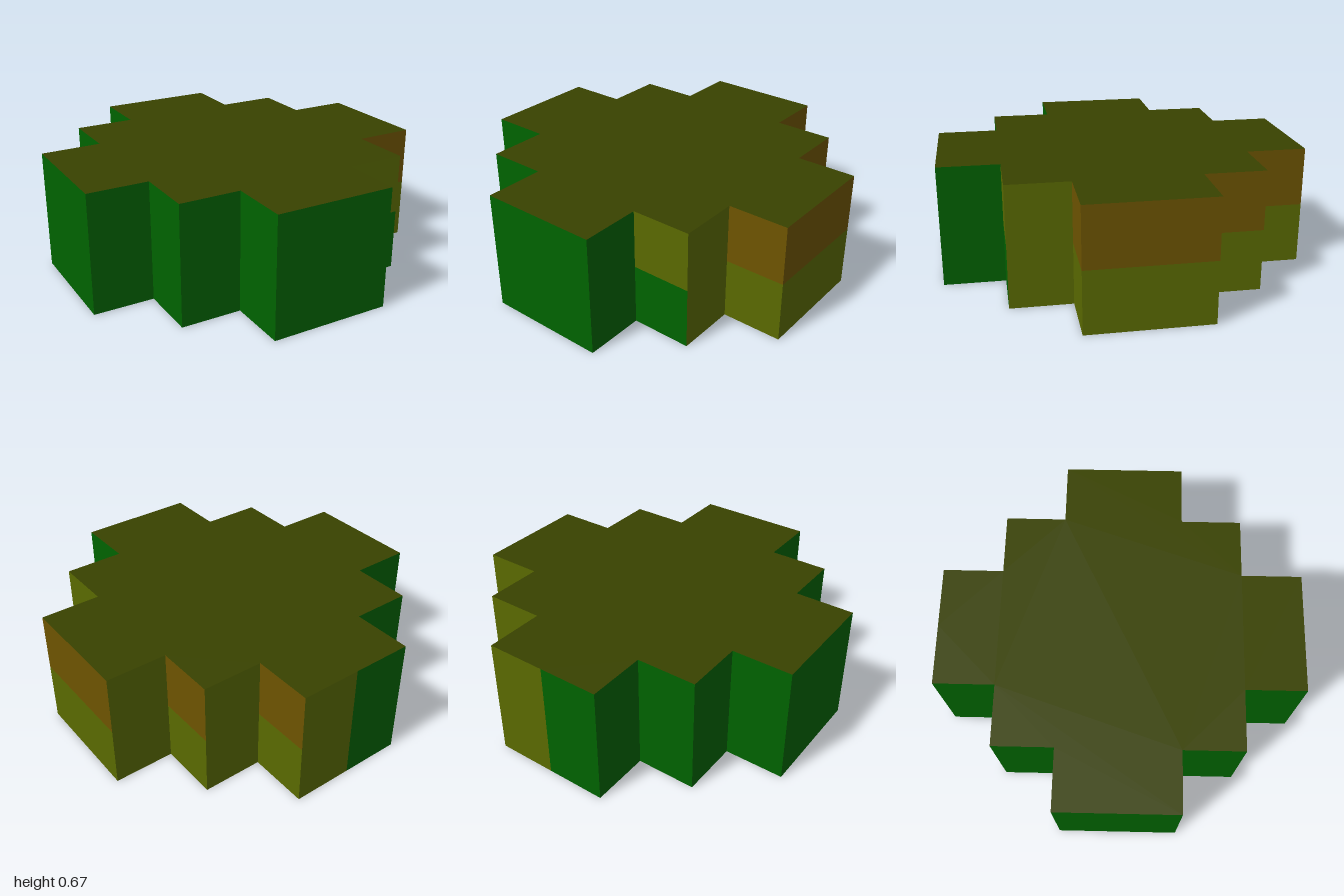
import * as THREE from 'three';

const A = 1 / 3, B = 2 / 3, HEIGHT = 2 / 3, SPLIT = 0.34;

const paint = (name, color) => {
  const m = new THREE.MeshStandardMaterial({ color });
  m.name = name;
  return m;
};

export function createModel() {
  const green = paint('green', 0x006300);
  const olive = paint('olive', 0x5a6a00);
  const brown = paint('brown', 0x6e5400);
  const darkOlive = paint('dark olive', 0x394200);

  const model = new THREE.Group();
  model.name = 'steppedBlock';

  const add = (name, geometry, material) => {
    const mesh = new THREE.Mesh(geometry, material);
    mesh.name = name;
    model.add(mesh);
    return mesh;
  };

  // One upright panel from (x0, z0) to (x1, z1); its front is on the right of that direction seen from the front
  const panel = (name, [x0, z0], [x1, z1], y0, y1, material) => {
    const mesh = add(name, new THREE.PlaneGeometry(Math.hypot(x1 - x0, z1 - z0), y1 - y0), material);
    mesh.position.set((x0 + x1) / 2, (y0 + y1) / 2, (z0 + z1) / 2);
    mesh.rotation.y = Math.atan2(-(z1 - z0), x1 - x0);
  };

  // Wall with a lower and an upper colour
  const wall = (name, from, to, lower, upper = lower) => {
    if (lower === upper) return panel(name, from, to, 0, HEIGHT, lower);
    panel(name + 'Lower', from, to, 0, SPLIT, lower);
    panel(name + 'Upper', from, to, SPLIT, HEIGHT, upper);
  };

  // Stepped outline as [x, z], walked from the front left corner round the right-hand side
  const outline = [
    [-A, 1], [A, 1], [A, B], [B, B], [B, A], [1, A],
    [1, -A], [B, -A], [B, -B], [A, -B], [A, -1], [0, -1],
    [-A, -1], [-A, -B], [-B, -B], [-B, -A], [-1, -A],
    [-1, A], [-B, A], [-B, B], [-A, B],
  ];

  // Lower and upper colour of the first eleven walls; the rest are green
  const colours = [
    [green], [green], [green, olive], [olive], [olive, brown],
    [olive, brown], [olive], [olive, brown], [olive], [olive, brown], [olive],
  ];
  outline.forEach((p, i) => {
    const next = outline[(i + 1) % outline.length];
    wall('wall' + (i + 1), p, next, ...(colours[i] || [green]));
  });

  // Flat top and bottom
  const shape = new THREE.Shape(outline.map(([x, z]) => new THREE.Vector2(x, -z)));
  add('top', new THREE.ShapeGeometry(shape).rotateX(-Math.PI / 2).translate(0, HEIGHT, 0), darkOlive);
  add('bottom', new THREE.ShapeGeometry(shape).rotateX(Math.PI / 2).scale(1, 1, 1), green);

  return model;
}
